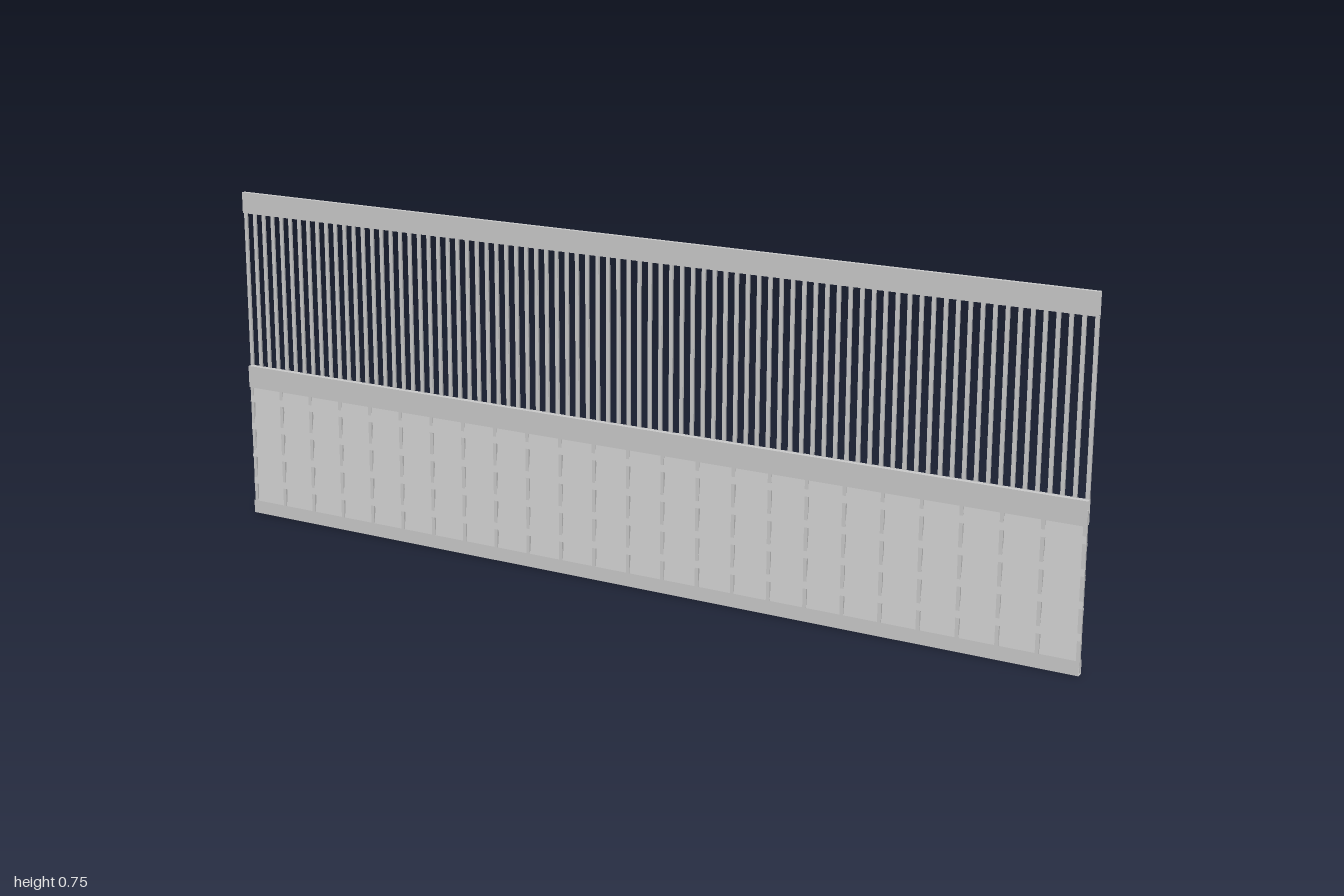
import * as THREE from 'three';

const grey = new THREE.MeshStandardMaterial({ color: 0xcccccc, side: THREE.DoubleSide, flatShading: true });

function add(parent, name, geometry, x, y, z) {
  const mesh = new THREE.Mesh(geometry, grey);
  mesh.name = name;
  mesh.position.set(x, y, z);
  parent.add(mesh);
  return mesh;
}

// Thin sheet running the full length, swept along a [y, z] section
function sheet(parent, name, section) {
  const pos = [], index = [];
  section.forEach(([y, z], i) => {
    pos.push(-1, y, z, 1, y, z);
    if (i) {
      const a = 2 * i - 2;
      index.push(a, a + 1, a + 3, a, a + 3, a + 2);
    }
  });
  const geometry = new THREE.BufferGeometry();
  geometry.setAttribute('position', new THREE.Float32BufferAttribute(pos, 3));
  geometry.setIndex(index);
  geometry.computeVertexNormals();
  return add(parent, name, geometry, 0, 0, 0);
}

export function createModel() {
  const model = new THREE.Group();
  model.name = 'fencePanel';

  // Open-ended channel rails
  sheet(model, 'topRail', [[0.703, 0.003], [0.75, 0.003], [0.75, -0.007], [0.703, -0.007]]);
  sheet(model, 'middleRail', [[0.3, 0.007], [0.35, 0.007], [0.35, -0.007], [0.3, -0.007]]);
  sheet(model, 'bottomRail', [[0.03, 0.007], [0, 0.007], [0, -0.007], [0.03, -0.007]]);

  // Row of upright bars between the middle and top rails
  const bars = new THREE.Group();
  bars.name = 'bars';
  model.add(bars);
  const barGeometry = new THREE.BoxGeometry(0.008, 0.352, 0.0045);
  const barCount = 80;
  for (let i = 0; i <= barCount; i++) {
    add(bars, 'bar', barGeometry, -0.996 + (1.992 * i) / barCount, 0.527, -0.0033);
  }

  // Slim posts that carry the slats
  const posts = new THREE.Group();
  posts.name = 'slatPosts';
  model.add(posts);
  const postGeometry = new THREE.BoxGeometry(0.008, 0.325, 0.005);
  const postCount = 24;
  for (let i = 0; i <= postCount; i++) {
    add(posts, 'slatPost', postGeometry, -0.996 + (1.992 * i) / postCount, 0.1675, 0.0005);
  }

  // Tilted overlapping slats, lower edge forward
  const slats = new THREE.Group();
  slats.name = 'slats';
  model.add(slats);
  const rows = 5, rowHeight = 0.065;
  for (let i = 0; i < rows; i++) {
    const y = 0.005 + i * rowHeight;
    sheet(slats, 'slat', [[y, 0.005], [y + rowHeight, -0.004]]);
  }

  return model;
}
